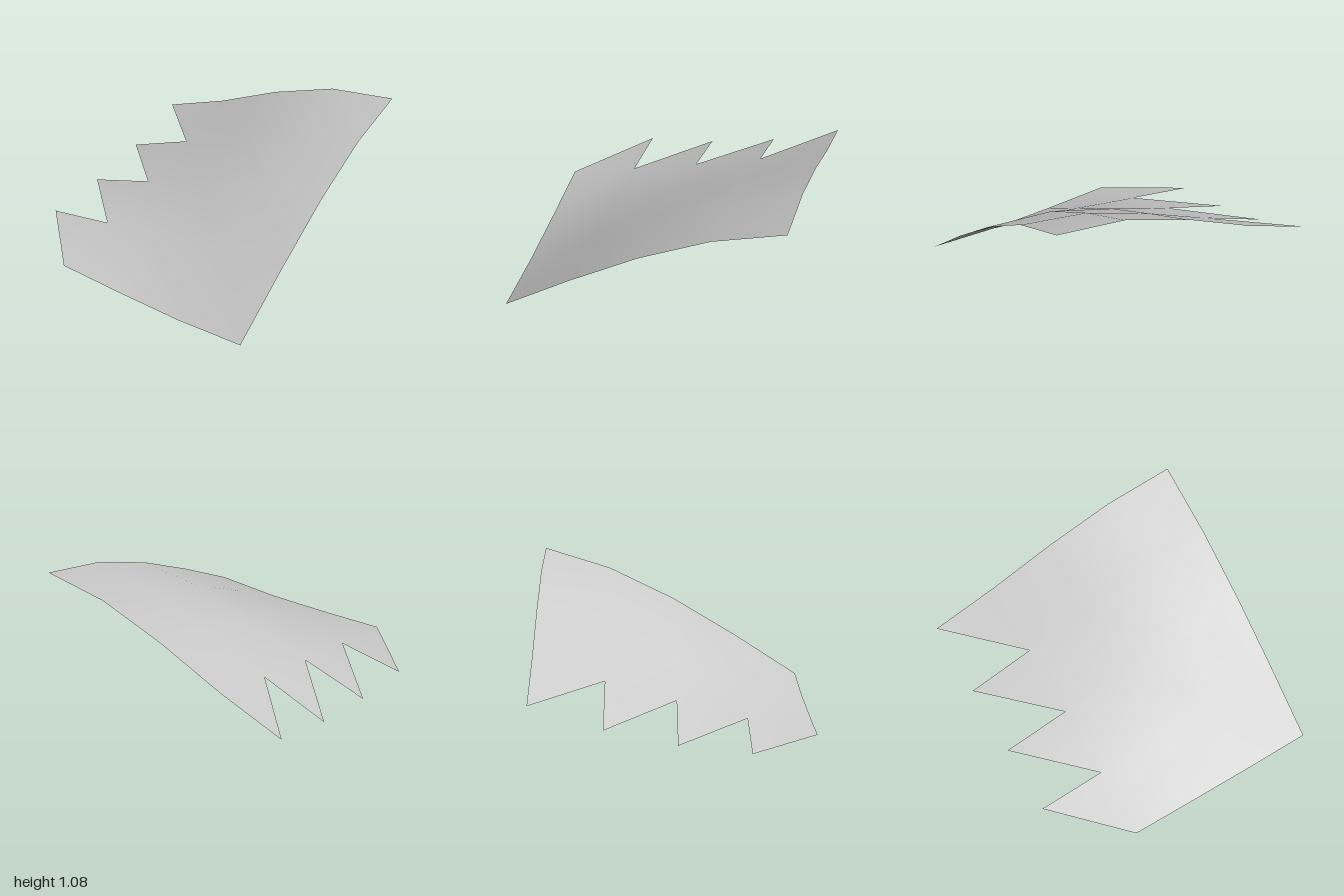
import * as THREE from 'three';

// Sheet heights: rows run back to front, columns run x = -1 to 1 in steps of 0.5
const HEIGHTS = [
  [0.56, 0.71, 0.90, 1.04, 1.075],
  [0.38, 0.535, 0.715, 0.86, 0.91],
  [0.265, 0.385, 0.52, 0.64, 0.655],
  [0.20, 0.245, 0.295, 0.33, 0.34],
  [0.16, 0.115, 0.06, 0.015, 0],
];

export function createModel() {
  const group = new THREE.Group();
  const grey = new THREE.MeshStandardMaterial({ color: 0xcccccc, side: THREE.DoubleSide });
  grey.name = 'light grey';

  const n = HEIGHTS.length;
  const positions = [];
  HEIGHTS.forEach((row, r) => row.forEach((y, c) => positions.push(c / 2 - 1, y, r / 2 - 1)));

  // Two triangles per cell; the left column keeps only one, leaving saw teeth
  const indices = [];
  for (let r = 0; r < n - 1; r++) {
    for (let c = 0; c < n - 1; c++) {
      const a = r * n + c, b = a + 1, d = a + n, e = d + 1;
      indices.push(a, e, b);
      if (c > 0) indices.push(a, d, e);
    }
  }

  const geometry = new THREE.BufferGeometry();
  geometry.setAttribute('position', new THREE.Float32BufferAttribute(positions, 3));
  geometry.setIndex(indices);
  geometry.computeVertexNormals();

  const sheet = new THREE.Mesh(geometry, grey);
  sheet.name = 'curvedSheetWithTeeth';
  group.add(sheet);
  return group;
}
